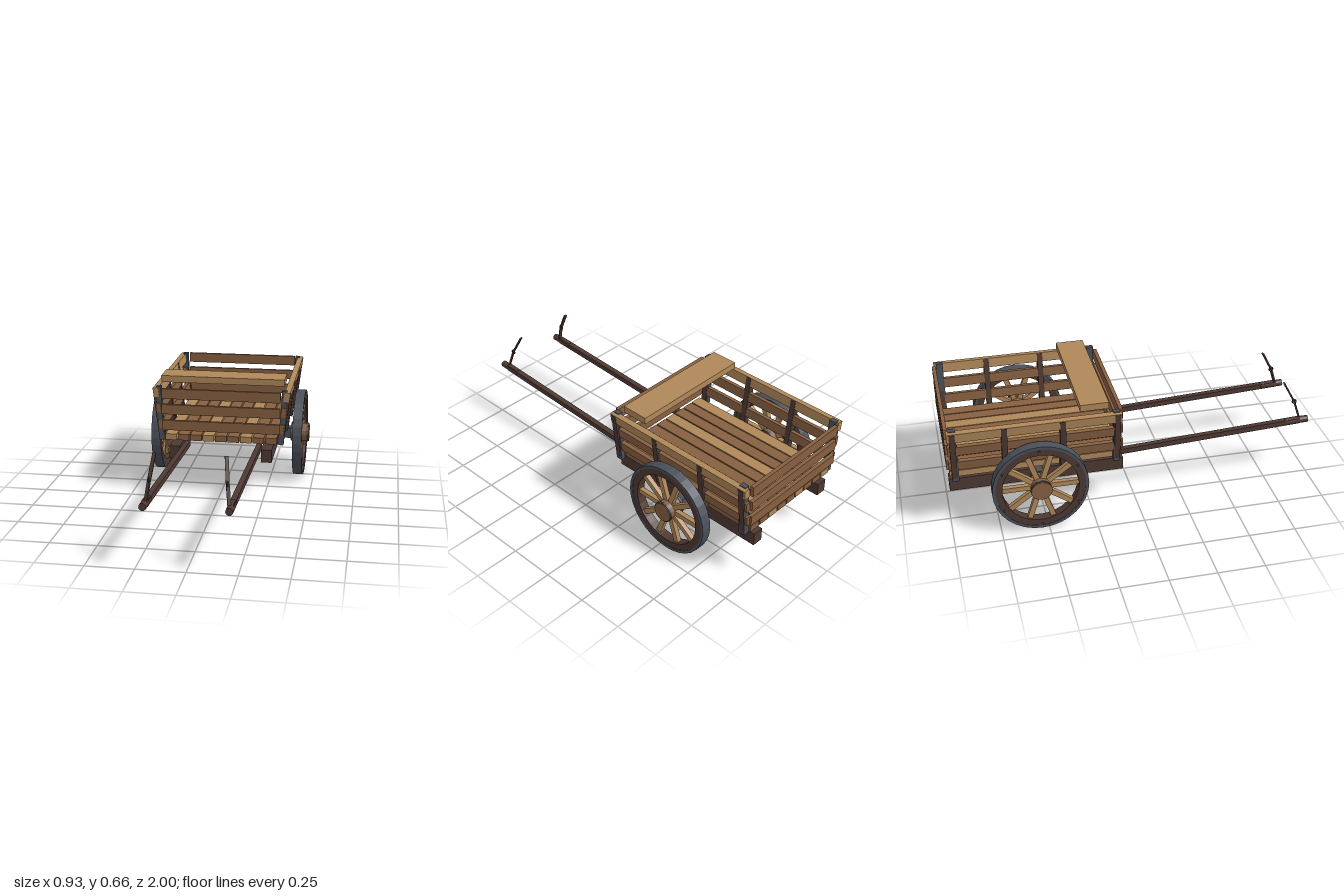
import * as THREE from 'three';

const paint = (name, color) => Object.assign(new THREE.MeshStandardMaterial({ color }), { name });

export function createModel() {
  const light = paint('light wood', 0xb0885a);
  const medium = paint('medium wood', 0x876041);
  const dark = paint('dark wood', 0x4e3933);
  const iron = paint('iron', 0x4a505a);
  const cart = new THREE.Group();
  cart.name = 'handCart';

  const add = (parent, name, geometry, material, x, y, z) => {
    const mesh = new THREE.Mesh(geometry, material);
    mesh.name = name;
    mesh.position.set(x, y, z);
    parent.add(mesh);
    return mesh;
  };
  const box = (parent, name, material, w, h, d, x, y, z) =>
    add(parent, name, new THREE.BoxGeometry(w, h, d), material, x, y, z);
  const faceted = (geometry) => {
    const flat = geometry.toNonIndexed();
    flat.computeVertexNormals();
    return flat;
  };
  // cylinder lying along x
  const roller = (r, length, sides) => faceted(new THREE.CylinderGeometry(r, r, length, sides).rotateZ(Math.PI / 2));
  // flat ring with its axis along x
  const hoop = (inner, outer, width, sides) => {
    const points = [[inner, -1], [outer, -1], [outer, 1], [inner, 1], [inner, -1]]
      .map(([r, s]) => new THREE.Vector2(r, s * width / 2));
    return faceted(new THREE.LatheGeometry(points, sides).rotateZ(Math.PI / 2));
  };
  // square bar between two points
  const bar = (parent, name, material, w, t, a, b) => {
    const from = new THREE.Vector3(...a), to = new THREE.Vector3(...b);
    const mesh = box(parent, name, material, w, t, from.distanceTo(to), 0, 0, 0);
    mesh.position.copy(from).add(to).multiplyScalar(0.5);
    mesh.lookAt(to);
    return mesh;
  };

  // floor planks
  for (let i = 0; i < 9; i++)
    box(cart, 'floorPlank', i % 3 === 0 ? light : medium, 0.064, 0.035, 0.895, (i - 4) * 0.0708, 0.325, -0.537);

  // front and back boards
  for (const z of [-0.09, -0.988])
    for (const [y, h] of [[0.577, 0.057], [0.487, 0.055], [0.395, 0.056]])
      box(cart, z > -0.5 ? 'frontBoard' : 'backBoard', medium, 0.666, h, 0.02, 0, y, z);

  // seat board
  box(cart, 'seat', light, 0.696, 0.037, 0.15, 0, 0.644, -0.23);

  // axle
  box(cart, 'axle', iron, 0.74, 0.06, 0.06, 0, 0.25, -0.535);

  const lean = 0.123;
  for (const s of [1, -1]) {
    // leaning side wall: posts and rails share the tilt
    const wall = new THREE.Group();
    wall.name = 'sideWall';
    wall.position.set(s * 0.351, 0.453, 0);
    wall.rotation.z = -s * lean;
    cart.add(wall);
    for (const z of [-0.115, -0.4, -0.7, -0.96])
      box(wall, 'sidePost', dark, 0.036, 0.302, 0.03, 0, 0, z);
    box(wall, 'topRail', light, 0.032, 0.053, 0.895, 0, 0.128, -0.54);
    for (const y of [0.037, -0.058])
      box(wall, 'sideRail', medium, 0.024, 0.053, 0.895, -s * 0.004, y, -0.54);

    // iron corner posts
    for (const z of [-0.117, -0.957]) {
      const post = box(cart, 'cornerPost', iron, 0.027, 0.308, 0.036, s * 0.346, 0.458, z);
      post.rotation.z = -s * 0.05;
    }

    // bed beam and pulling shaft
    box(cart, 'bedBeam', dark, 0.06, 0.073, 0.92, s * 0.26, 0.242, -0.53);
    bar(cart, 'shaft', dark, 0.03, 0.03, [s * 0.206, 0.257, -0.2], [s * 0.206, 0.318, 0.95]);
    const grip = add(cart, 'shaftGrip', faceted(new THREE.CylinderGeometry(0.019, 0.019, 0.132, 12)), dark, s * 0.206, 0.317, 0.933);
    grip.rotation.x = Math.PI / 2 - 0.03;

    // hinged hook on each shaft
    const knee = [s * 0.188, 0.428, 0.921];
    bar(cart, 'hookLower', dark, 0.017, 0.009, [s * 0.2, 0.33, 0.952], knee);
    bar(cart, 'hookUpper', dark, 0.018, 0.008, knee, [s * 0.173, 0.545, 0.858]);
    add(cart, 'hookRing', new THREE.TorusGeometry(0.011, 0.004, 6, 12).rotateY(Math.PI / 2), dark, ...knee);

    // wheel
    const wheel = new THREE.Group();
    wheel.name = 'wheel';
    wheel.position.set(s * 0.412, 0.252, -0.535);
    cart.add(wheel);
    add(wheel, 'tire', hoop(0.236, 0.252, 0.055, 32), iron, 0, 0, 0);
    add(wheel, 'rim', hoop(0.2, 0.238, 0.05, 32), dark, 0, 0, 0);
    add(wheel, 'hub', roller(0.053, 0.106, 16), medium, 0, 0, 0);
    for (const x of [-0.044, 0.044])
      add(wheel, 'hubBand', hoop(0.05, 0.057, 0.01, 16), iron, x, 0, 0);
    for (let i = 0; i < 10; i++) {
      const a = i * Math.PI / 5;
      const spoke = box(wheel, 'spoke', light, 0.026, 0.165, 0.028, 0, Math.cos(a + Math.PI / 2) * 0.125, Math.sin(a + Math.PI / 2) * 0.125);
      spoke.rotation.x = a + Math.PI / 2;
    }
    for (let i = 0; i < 6; i++) {
      const a = i * Math.PI / 3;
      add(wheel, 'rimBolt', roller(0.006, 0.008, 8), iron, -0.029, Math.cos(a) * 0.226, Math.sin(a) * 0.226);
    }
  }
  return cart;
}
